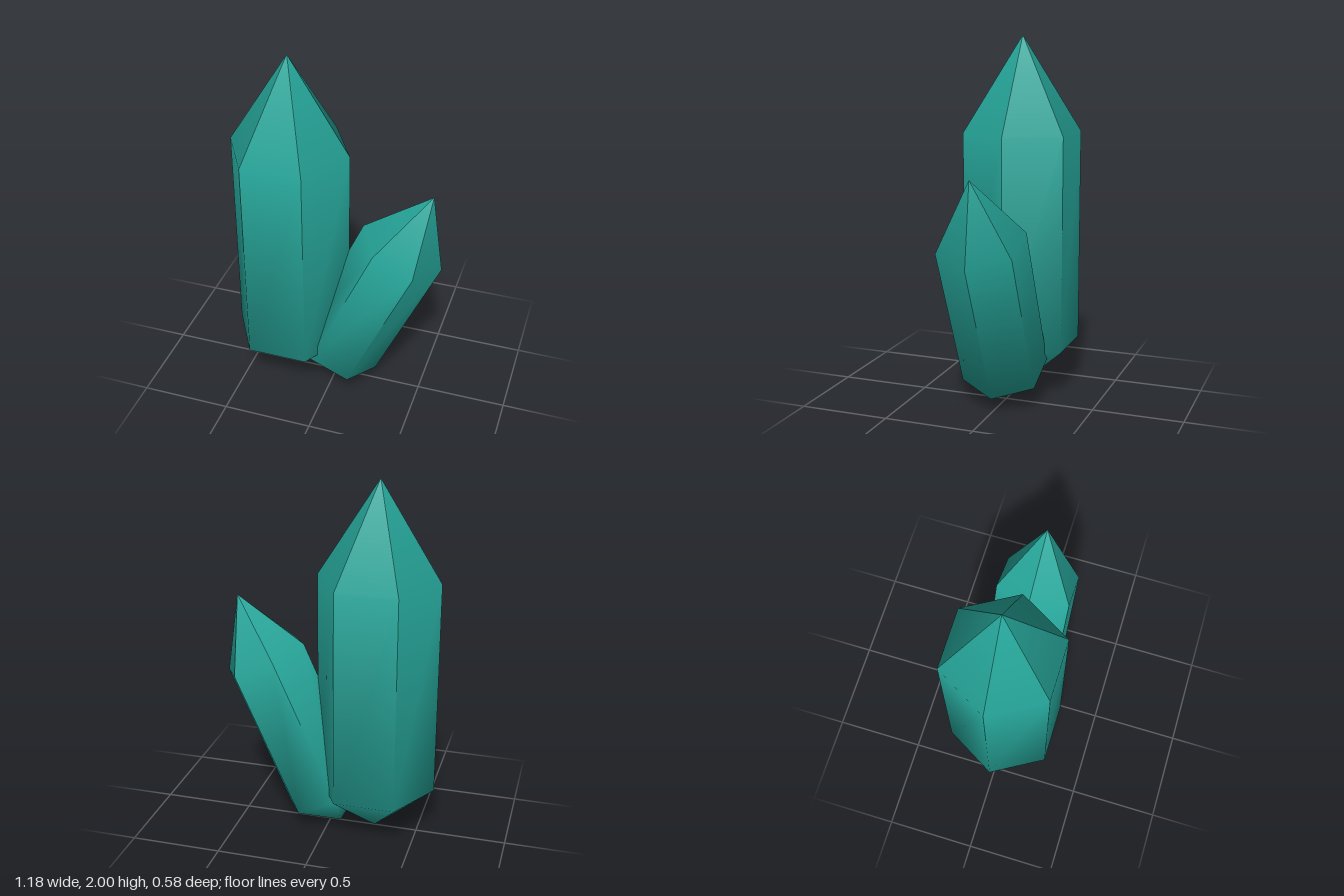
import * as THREE from 'three';

const RADIUS = 0.333;
const BASE_Y = 0.27;      // lower ring
const SHOULDER_Y = 1.47;  // upper ring
const TIP_Y = 2;

// Six-sided crystal: crisp edges at the top that melt into a smooth pointed base
function crystalGeometry() {
  const positions = [];
  const normals = [];
  const radial = (angle, r, y) => new THREE.Vector3(r * Math.cos(angle), y, -r * Math.sin(angle));
  const corner = (p, n) => {
    positions.push(...p.toArray());
    normals.push(...n.clone().normalize().toArray());
  };

  const apothem = RADIUS * Math.cos(Math.PI / 6);
  const down = new THREE.Vector3(0, -1, 0);
  const top = new THREE.Vector3(0, TIP_Y, 0);
  const bottom = new THREE.Vector3(0, 0, 0);

  for (let i = 0; i < 6; i++) {
    const a0 = i * Math.PI / 3;
    const a1 = (i + 1) * Math.PI / 3;
    const mid = (a0 + a1) / 2;
    const b0 = radial(a0, RADIUS, BASE_Y), b1 = radial(a1, RADIUS, BASE_Y);
    const t0 = radial(a0, RADIUS, SHOULDER_Y), t1 = radial(a1, RADIUS, SHOULDER_Y);

    // Smooth around the base ring, creased between facets above it
    const nb0 = radial(a0, 0.92, -0.385), nb1 = radial(a1, 0.92, -0.385);
    const nShoulder = radial(mid, 0.975, 0.223);
    const nTip = radial(mid, TIP_Y - SHOULDER_Y, apothem);

    // Side facet
    corner(b0, nb0); corner(b1, nb1); corner(t1, nShoulder);
    corner(b0, nb0); corner(t1, nShoulder); corner(t0, nShoulder);
    // Upper point
    corner(t0, nShoulder); corner(t1, nShoulder); corner(top, nTip);
    // Lower point
    corner(b1, nb1); corner(b0, nb0); corner(bottom, down);
  }

  const geometry = new THREE.BufferGeometry();
  geometry.setAttribute('position', new THREE.Float32BufferAttribute(positions, 3));
  geometry.setAttribute('normal', new THREE.Float32BufferAttribute(normals, 3));
  return geometry;
}

export function createModel() {
  const group = new THREE.Group();
  group.name = 'crystalCluster';
  const teal = new THREE.MeshStandardMaterial({ color: 0x26a69a });
  teal.name = 'teal';
  const geometry = crystalGeometry();

  // Tall upright crystal
  const tall = new THREE.Mesh(geometry, teal);
  tall.name = 'tallCrystal';
  tall.position.x = -0.26;
  group.add(tall);

  // Smaller crystal leaning to the side
  const small = new THREE.Mesh(geometry, teal);
  small.name = 'leaningCrystal';
  small.scale.setScalar(0.72);
  small.rotation.z = -THREE.MathUtils.degToRad(24);
  small.position.x = -0.06;
  group.add(small);

  return group;
}
